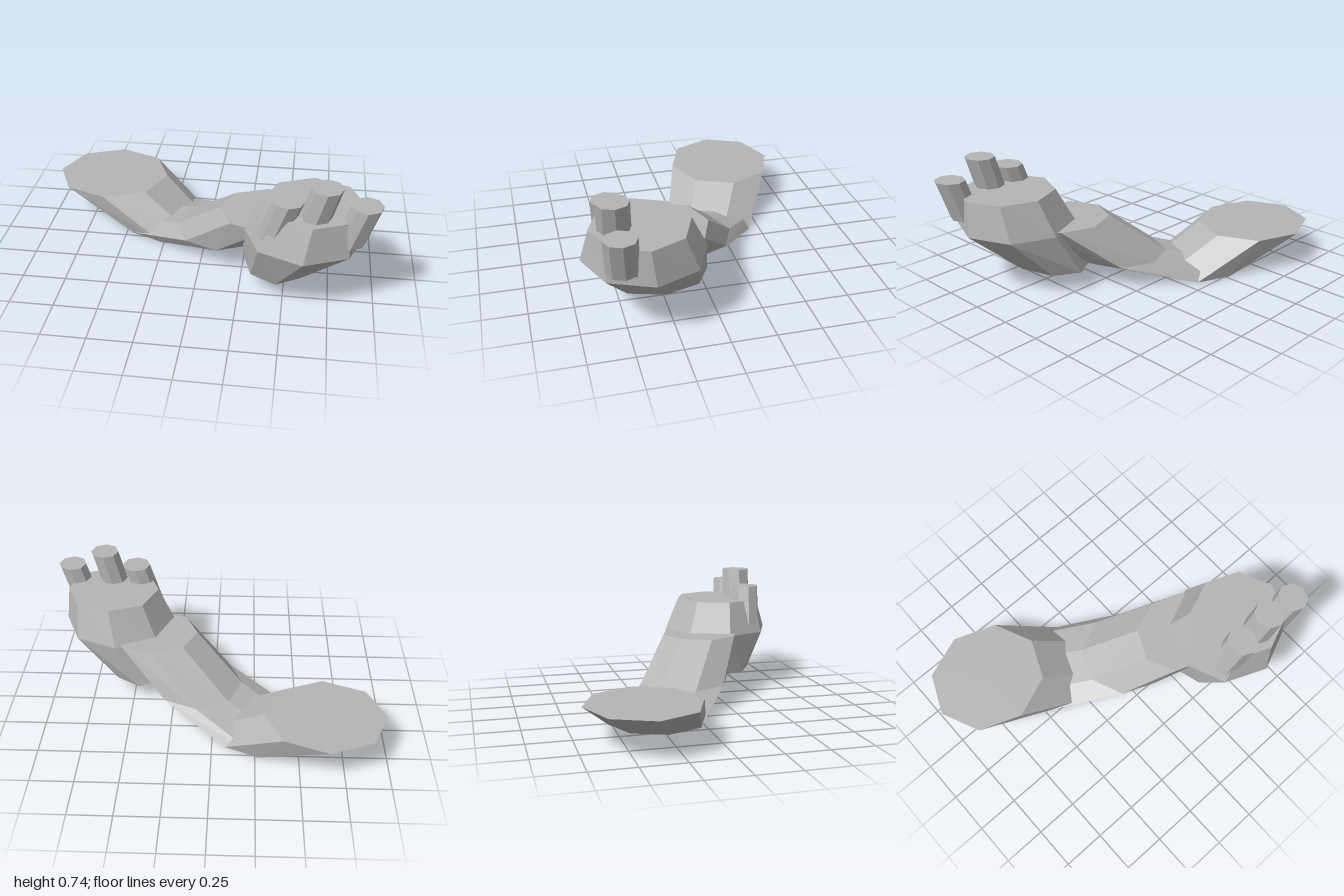
import * as THREE from 'three';

const SIDES = 8;

// Skin level octagonal rings, listed from low to high: [x, y, z, radiusX, radiusZ]
function loft(rings, capBottom, capTop) {
  const pos = [];
  const point = ([x, y, z, rx, rz], i) => {
    const t = (i / SIDES) * Math.PI * 2;
    return [x + Math.cos(t) * rx, y, z + Math.sin(t) * rz];
  };
  const tri = (a, b, c) => pos.push(...a, ...b, ...c);
  const low = rings[0];
  const high = rings[rings.length - 1];
  for (let i = 0; i < SIDES; i++) {
    for (let r = 0; r < rings.length - 1; r++) {
      const a = point(rings[r], i), b = point(rings[r], i + 1);
      const c = point(rings[r + 1], i), d = point(rings[r + 1], i + 1);
      tri(a, c, d);
      tri(a, d, b);
    }
    if (capBottom) tri(low.slice(0, 3), point(low, i), point(low, i + 1));
    if (capTop) tri(high.slice(0, 3), point(high, i + 1), point(high, i));
  }
  const geometry = new THREE.BufferGeometry();
  geometry.setAttribute('position', new THREE.Float32BufferAttribute(pos, 3));
  geometry.computeVertexNormals();
  return geometry;
}

export function createModel() {
  const model = new THREE.Group();
  model.name = 'arm';
  const grey = new THREE.MeshStandardMaterial({
    color: 0xb4b4b4, flatShading: true, side: THREE.DoubleSide,
  });
  grey.name = 'grey';

  const add = (name, rings, capBottom, capTop) => {
    const mesh = new THREE.Mesh(loft(rings, capBottom, capTop), grey);
    mesh.name = name;
    model.add(mesh);
  };

  // Upper arm and forearm share the open elbow ring
  const elbow = [-0.27, 0, -0.233, 0.27, 0.284];
  add('upperArm', [elbow, [-0.65, 0.22, -0.395, 0.35, 0.325]], false, true);
  add('forearm', [
    elbow,
    [0.1, 0.13, 0.02, 0.27, 0.27],
    [0.375, 0.373, 0.2, 0.265, 0.24],
  ], false, true);

  // Palm, widest at the middle
  add('palm', [
    [0.457, 0.11, 0.268, 0.2, 0.282],
    [0.6, 0.36, 0.37, 0.34, 0.343],
    [0.64, 0.56, 0.395, 0.28, 0.272],
  ], true, true);

  // Three leaning fingers: [base x, tip x, tip y]
  [[0.43, 0.51, 0.65], [0.615, 0.705, 0.74], [0.84, 0.915, 0.65]].forEach(([x0, x1, y1], i) => {
    add('finger' + (i + 1), [
      [x0, 0.415, 0.525, 0.085, 0.09],
      [x1, y1, 0.545, 0.085, 0.09],
    ], true, true);
  });

  return model;
}
